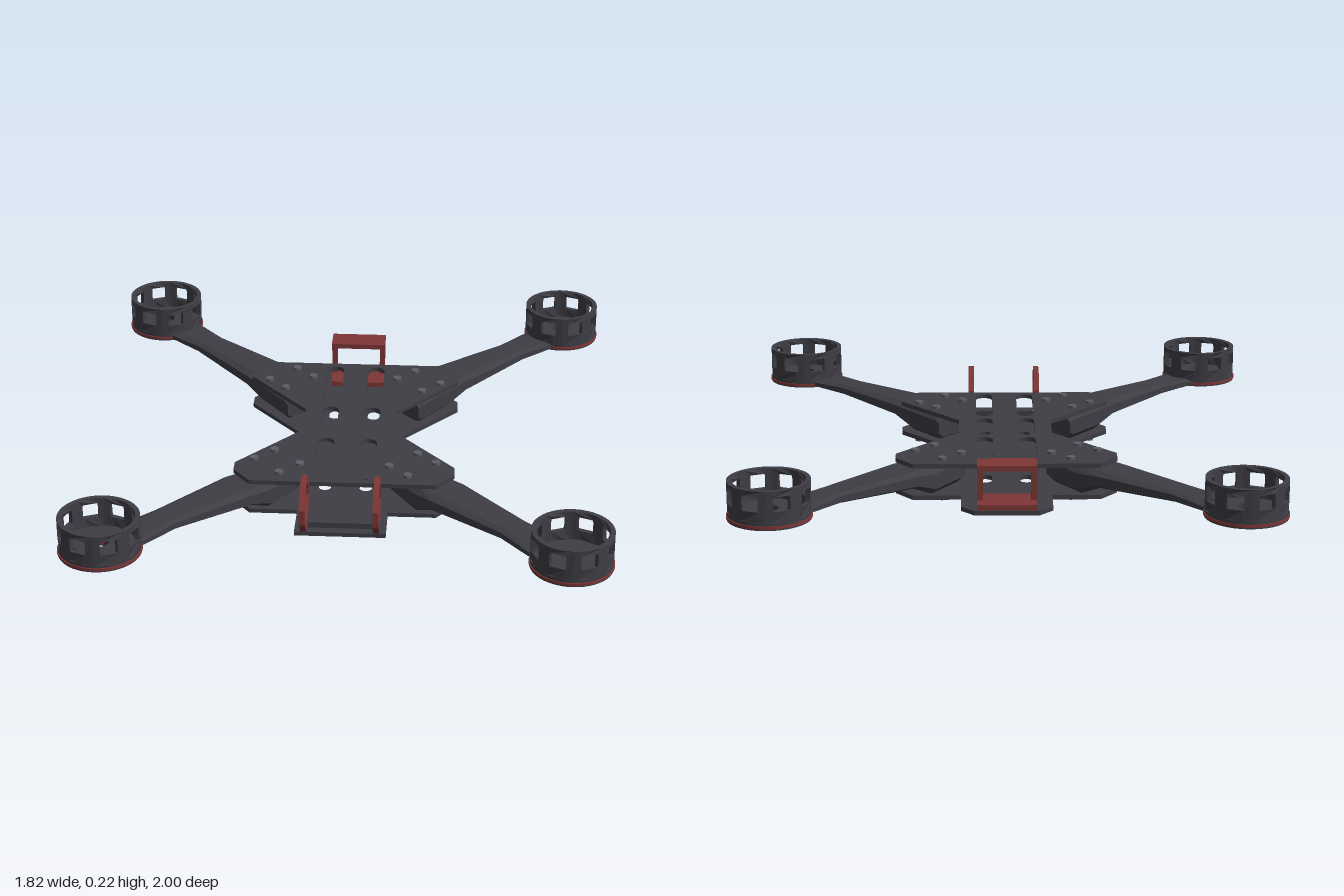
import * as THREE from 'three';
import { toCreasedNormals } from 'three/addons/utils/BufferGeometryUtils.js';

const mat = (name, color) => Object.assign(new THREE.MeshStandardMaterial({ color }), { name });
const carbon = mat('carbon', 0x3e3d44);
const red = mat('red', 0x7e3636);
const steel = mat('steel', 0x5c5c64);

const path = (pts, Type = THREE.Shape) => new Type(pts.map(([a, b]) => new THREE.Vector2(a, b)));

function add(group, name, geometry, material, x = 0, y = 0, z = 0) {
  const mesh = new THREE.Mesh(geometry, material);
  mesh.name = name;
  mesh.position.set(x, y, z);
  group.add(mesh);
  return mesh;
}

// Rectangle with cut corners, as a list of points
const cutRect = (x0, x1, y0, y1, c) => [
  [x0 + c, y0], [x1 - c, y0], [x1, y0 + c], [x1, y1 - c],
  [x1 - c, y1], [x0 + c, y1], [x0, y1 - c], [x0, y0 + c]];

// Rounded slot running along z, drawn at (x, -z)
function slot(x, z0, z1, r) {
  const p = new THREE.Path();
  p.absarc(x, -z0 - r, r, 0, Math.PI, false);
  p.absarc(x, -z1 + r, r, Math.PI, 2 * Math.PI, false);
  p.closePath();
  return p;
}

// Flat plate lying in xz
function plate(pts, holes, depth) {
  const shape = path(pts.map(([x, z]) => [x, -z]));
  shape.holes.push(...holes);
  return new THREE.ExtrudeGeometry(shape, { depth, bevelEnabled: false, curveSegments: 8 })
    .rotateX(-Math.PI / 2);
}

// Upright panel in zy, extruded across x about its middle
function panel(outer, inner, depth) {
  const shape = path(outer);
  if (inner) shape.holes.push(path(inner, THREE.Path));
  return new THREE.ExtrudeGeometry(shape, { depth, bevelEnabled: false })
    .rotateY(-Math.PI / 2).translate(depth / 2, 0, 0);
}

// Half outline (x > 0), front to back, mirrored to the other side
const mirrored = half => [...half, ...half.map(([x, z]) => [-x, z]).reverse()];
const wing = [[0.32, 0.455], [0.38, 0.38], [0.38, 0.33], [0.165, 0.08],
  [0.165, -0.08], [0.38, -0.33], [0.38, -0.38], [0.32, -0.455]];

// Arm lofted through chamfered sections: front corner, side corner, bottom, top
const armSections = [
  [0.14, 0.30, 0.24, 0.19, 0.042, 0.115],
  [0.155, 0.317, 0.255, 0.207, 0.03, 0.127],
  [0.24, 0.45, 0.35, 0.33, 0.03, 0.127],
  [0.30, 0.51, 0.41, 0.39, 0.067, 0.127],
  [0.54, 0.71, 0.62, 0.63, 0.085, 0.122],
  [0.635, 0.83, 0.735, 0.73, 0.09, 0.115]];

function armGeometry(sx, sz) {
  const pos = [], idx = [], n = 8;
  for (const [ax, az, bx, bz, y0, y1] of armSections) {
    const c = (y1 - y0) * 0.22;
    for (const [t, y] of cutRect(0, 1, 0, 1, 0.15)) {
      const h = y === 0.15 ? y0 + c : y === 0.85 ? y1 - c : y ? y1 : y0;
      pos.push(sx * (ax + (bx - ax) * t), h, sz * (az + (bz - az) * t));
    }
  }
  const tri = (a, b, c) => (sx * sz > 0 ? idx.push(a, b, c) : idx.push(a, c, b));
  const last = (armSections.length - 1) * n;
  for (let s = 0; s < last; s += n) {
    for (let i = 0; i < n; i++) {
      const j = (i + 1) % n;
      tri(s + i, s + j, s + n + j);
      tri(s + i, s + n + j, s + n + i);
    }
  }
  for (let i = 1; i < n - 1; i++) {
    tri(0, i + 1, i);
    tri(last, last + i, last + i + 1);
  }
  const g = new THREE.BufferGeometry();
  g.setAttribute('position', new THREE.Float32BufferAttribute(pos, 3));
  g.setIndex(idx);
  return toCreasedNormals(g, 0.1);
}

// One eighth of the motor bell: a windowed panel bent round the axis
function bellGeometry() {
  const a = Math.PI / 8, outer = [], n = 6;
  for (let i = 0; i <= n; i++) outer.push([-a + (2 * a * i) / n, 0.1]);
  for (let i = n; i >= 0; i--) outer.push([-a + (2 * a * i) / n, 0.22]);
  const shape = path(outer);
  shape.holes.push(path(cutRect(-0.215, 0.215, 0.15, 0.2, 0.012), THREE.Path));
  const g = new THREE.ExtrudeGeometry(shape, { depth: 0.016, bevelEnabled: false });
  const p = g.attributes.position;
  for (let i = 0; i < p.count; i++) {
    const r = 0.12 + p.getZ(i), t = p.getX(i);
    p.setXYZ(i, r * Math.sin(t), p.getY(i), r * Math.cos(t));
  }
  g.computeVertexNormals();
  return g;
}

const lathe = pts => toCreasedNormals(
  new THREE.LatheGeometry(pts.map(([r, y]) => new THREE.Vector2(r, y)), 48), 0.5);

export function createModel() {
  const model = new THREE.Group();
  model.name = 'quadcopterFrame';

  // Upper and lower body plates
  const slots = [];
  const ports = [];
  for (const x of [-0.075, 0.075]) {
    for (const [z0, z1] of [[-0.43, -0.135], [-0.105, 0.105], [0.135, 0.43]]) slots.push(slot(x, z0, z1, 0.03));
    for (const [z0, z1] of [[-0.31, -0.225], [0.225, 0.31]]) ports.push(slot(x * 0.95, z0, z1, 0.022));
  }
  add(model, 'topPlate', plate(mirrored(wing), slots, 0.015), carbon, 0, 0.127, 0);
  const lower = [[0.155, 0.6], [0.155, 0.455], ...wing, [0.155, -0.455], [0.155, -0.575], [0.11, -0.625]];
  add(model, 'bottomPlate', plate(mirrored(lower), ports, 0.015), carbon, 0, 0.015, 0);
  add(model, 'frontRail', new THREE.BoxGeometry(0.22, 0.02, 0.05), carbon, 0, 0.04, 0.545);

  // Arms, motors and bolts in four corners
  const bell = bellGeometry();
  const floor = lathe([[0.136, 0.1], [0.136, 0.115], [0.09, 0.115], [0.088, 0.122],
    [0.03, 0.122], [0.03, 0.1], [0.136, 0.1]]);
  const flange = lathe([[0.14, 0.095], [0.14, 0.104], [0.03, 0.104], [0.03, 0.095], [0.14, 0.095]]);
  const underside = lathe([[0.138, 0.09], [0.138, 0.095], [0.03, 0.095], [0.03, 0.09], [0.138, 0.09]]);
  const bolt = new THREE.CylinderGeometry(0.015, 0.015, 0.015, 12);
  for (const sx of [-1, 1]) {
    for (const sz of [-1, 1]) {
      add(model, 'arm', armGeometry(sx, sz), carbon);
      const motor = new THREE.Group();
      motor.name = 'motor';
      motor.position.set(sx * 0.77, 0, sz * 0.86);
      add(motor, 'motorFloor', floor, carbon);
      add(motor, 'motorFlange', flange, red);
      add(motor, 'motorUnderside', underside, carbon);
      for (let k = 0; k < 8; k++) {
        add(motor, 'motorBell', bell, carbon).rotation.y = (k + 0.5) * Math.PI / 4;
      }
      model.add(motor);
      for (const [x, z] of [[0.22, 0.40], [0.155, 0.335], [0.315, 0.305], [0.25, 0.24]]) {
        add(model, 'topBolt', bolt, steel, sx * x, 0.1445, sz * z);
        add(model, 'bottomBolt', bolt, steel, sx * x, 0.0075, sz * z);
      }
    }
  }

  // Front antenna guards and the sides of the rear mount
  const guard = panel(cutRect(0.46, 0.665, 0.035, 0.205, 0.058), cutRect(0.482, 0.643, 0.057, 0.183, 0.048), 0.02);
  const mountSide = panel(
    [[-0.62, 0.03], [-0.49, 0.03], [-0.49, 0.05], [-0.535, 0.065], [-0.535, 0.17], [-0.6, 0.17], [-0.6, 0.06], [-0.62, 0.05]],
    cutRect(-0.585, -0.55, 0.075, 0.15, 0.01), 0.018);
  for (const s of [-1, 1]) {
    add(model, 'antennaGuard', guard, red, s * 0.123);
    add(model, 'rearMountSide', mountSide, red, s * 0.09);
  }
  add(model, 'rearMountTop', new THREE.BoxGeometry(0.2, 0.018, 0.09), red, 0, 0.177, -0.577);
  add(model, 'rearMountBase', new THREE.BoxGeometry(0.2, 0.018, 0.13), red, 0, 0.039, -0.555);

  return model;
}
